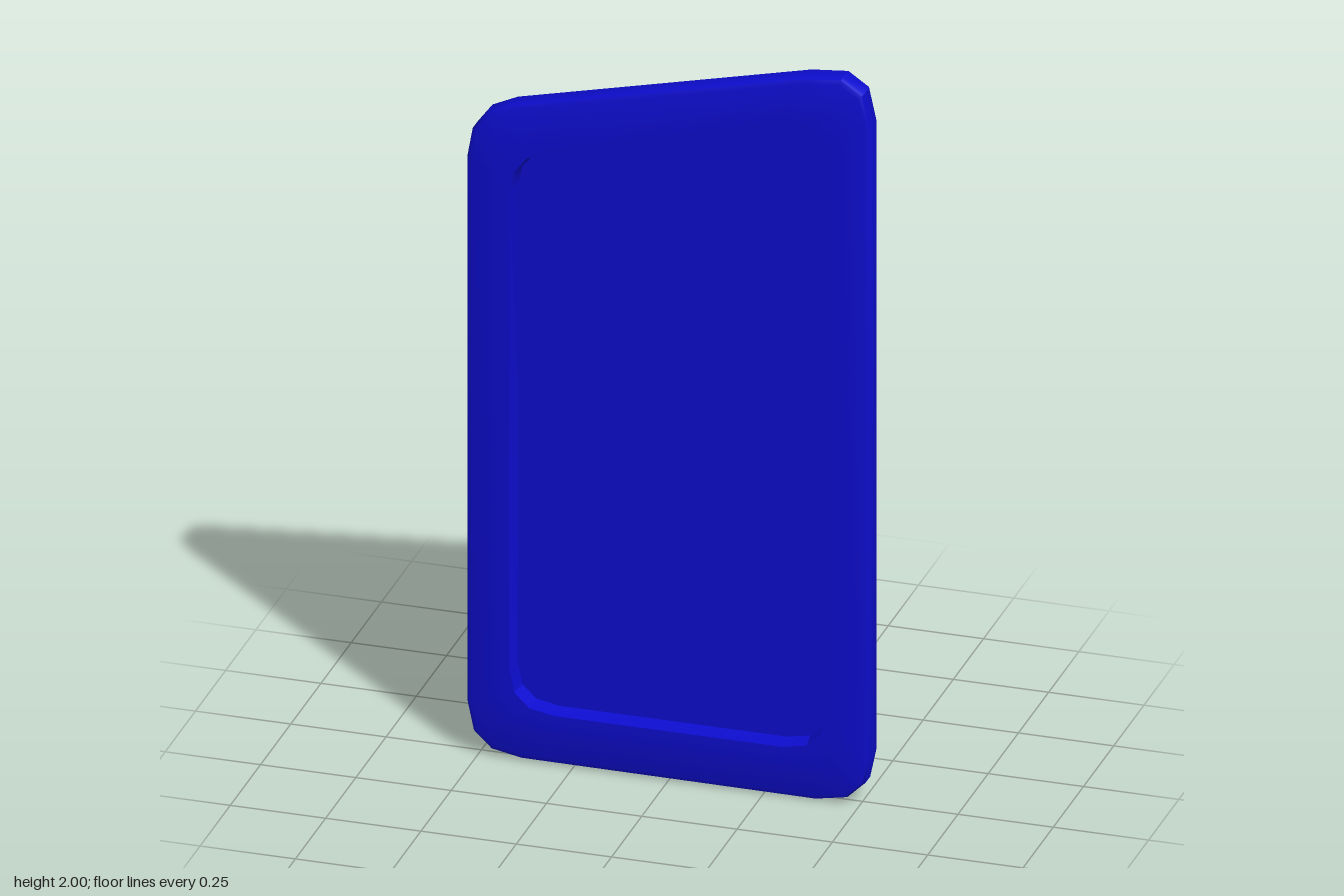
import * as THREE from 'three';
import { toCreasedNormals } from 'three/addons/utils/BufferGeometryUtils.js';

// Closed counter-clockwise outline with every corner rounded by a short curve.
// Each corner: [start x, start y, corner x, corner y, end x, end y]
function outline(corners) {
  return corners.flatMap(([ax, ay, bx, by, cx, cy]) =>
    new THREE.QuadraticBezierCurve(
      new THREE.Vector2(ax, ay), new THREE.Vector2(bx, by), new THREE.Vector2(cx, cy)
    ).getPoints(3));
}

// Move an outline inwards by d along its mitred corner normals
function inset(points, d) {
  const n = points.length;
  return points.map((p, i) => {
    const a = p.clone().sub(points[(i + n - 1) % n]).normalize();
    const b = points[(i + 1) % n].clone().sub(p).normalize();
    const m = new THREE.Vector2(-a.y - b.y, a.x + b.x).normalize();
    return p.clone().addScaledVector(m, d / (m.x * -a.y + m.y * a.x));
  });
}

// Skin a row of outlines [points, z], closing the first (back) and last (floor)
function loft(rings) {
  const n = rings[0][0].length;
  const position = rings.flatMap(([pts, z]) => pts.flatMap((p) => [p.x, p.y, z]));
  const index = [];
  for (let r = 0; r < rings.length - 1; r++) {
    for (let i = 0; i < n; i++) {
      const j = (i + 1) % n;
      const a = r * n + i, b = r * n + j, c = a + n, d = b + n;
      index.push(a, b, d, a, d, c);
    }
  }
  const last = (rings.length - 1) * n;
  for (const [a, b, c] of THREE.ShapeUtils.triangulateShape(rings[0][0], [])) index.push(a, c, b);
  for (const [a, b, c] of THREE.ShapeUtils.triangulateShape(rings[rings.length - 1][0], [])) {
    index.push(last + a, last + b, last + c);
  }
  const geometry = new THREE.BufferGeometry();
  geometry.setAttribute('position', new THREE.Float32BufferAttribute(position, 3));
  geometry.setIndex(index);
  return toCreasedNormals(geometry, 0.55);
}

export function createModel() {
  const group = new THREE.Group();
  group.name = 'slantedPanel';

  // Outer edge of the panel
  const outer = outline([
    [-0.53, 0.14, -0.53, 0.003, -0.385, 0.003],
    [0.385, 0, 0.53, 0, 0.53, 0.14],
    [0.53, 1.88, 0.53, 2.045, 0.36, 1.995],
    [-0.41, 1.81, -0.53, 1.78, -0.53, 1.65],
  ]);

  // Rim of the recess
  const inner = outline([
    [-0.415, 0.25, -0.415, 0.138, -0.30, 0.138],
    [0.30, 0.138, 0.415, 0.138, 0.415, 0.25],
    [0.415, 1.75, 0.415, 1.893, 0.29, 1.858],
    [-0.31, 1.695, -0.415, 1.668, -0.415, 1.57],
  ]);

  // Back face, rounded edge, front frame, recess wall and floor
  const geometry = loft([
    [inset(outer, 0.016), -0.035],
    [inset(outer, 0.005), -0.030],
    [outer, -0.019],
    [outer, 0.019],
    [inset(outer, 0.005), 0.030],
    [inset(outer, 0.016), 0.035],
    [inner, 0.035],
    [inset(inner, 0.008), -0.010],
  ]);
  const panel = new THREE.Mesh(geometry, new THREE.MeshStandardMaterial({ color: 0x0d0dd0 }));
  panel.name = 'recessedPanel';
  group.add(panel);
  return group;
}
